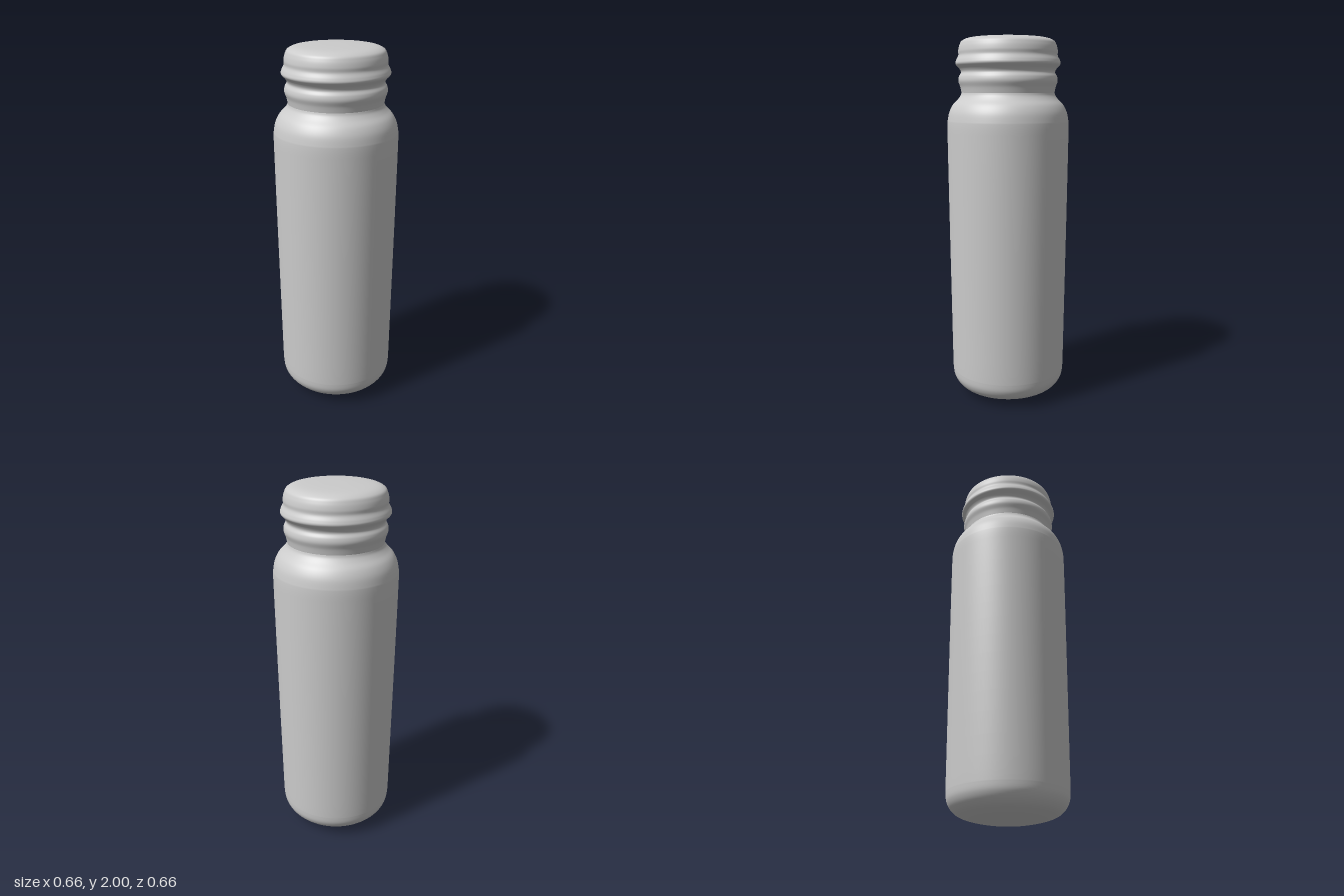
import * as THREE from 'three';

// Smooth curve through [radius, height] points
function smooth(points, divisions) {
  return new THREE.SplineCurve(points.map(([r, y]) => new THREE.Vector2(r, y))).getPoints(divisions);
}

function turned(name, profile) {
  const mesh = new THREE.Mesh(
    new THREE.LatheGeometry(profile, 96),
    new THREE.MeshStandardMaterial({ color: 0xcccccc })
  );
  mesh.name = name;
  return mesh;
}

export function createModel() {
  const bottle = new THREE.Group();
  bottle.name = 'bottle';

  // Rounded base, slightly tapering wall and soft shoulder
  const body = [
    ...smooth([[0, 0], [0.08, 0.002], [0.17, 0.015], [0.25, 0.037], [0.29, 0.066], [0.312, 0.105], [0.318, 0.15]], 36),
    ...smooth([[0.319, 0.2], [0.323, 0.6], [0.327, 1.0], [0.33, 1.35], [0.331, 1.52]], 16),
    ...smooth([[0.33, 1.55], [0.32, 1.6], [0.3, 1.64], [0.272, 1.67], [0.257, 1.69], [0.252, 1.705]], 24),
  ];
  bottle.add(turned('body', body));

  // Neck with two rounded ridges, closed by a gently domed top
  const neck = smooth([
    [0.252, 1.705], [0.258, 1.735], [0.268, 1.765], [0.265, 1.79], [0.254, 1.812],
    [0.262, 1.832], [0.282, 1.855], [0.279, 1.875], [0.267, 1.9], [0.267, 1.925],
    [0.26, 1.955], [0.245, 1.978], [0.2, 1.993], [0.1, 1.999], [0, 2],
  ], 90);
  bottle.add(turned('neckAndTop', neck));

  return bottle;
}
